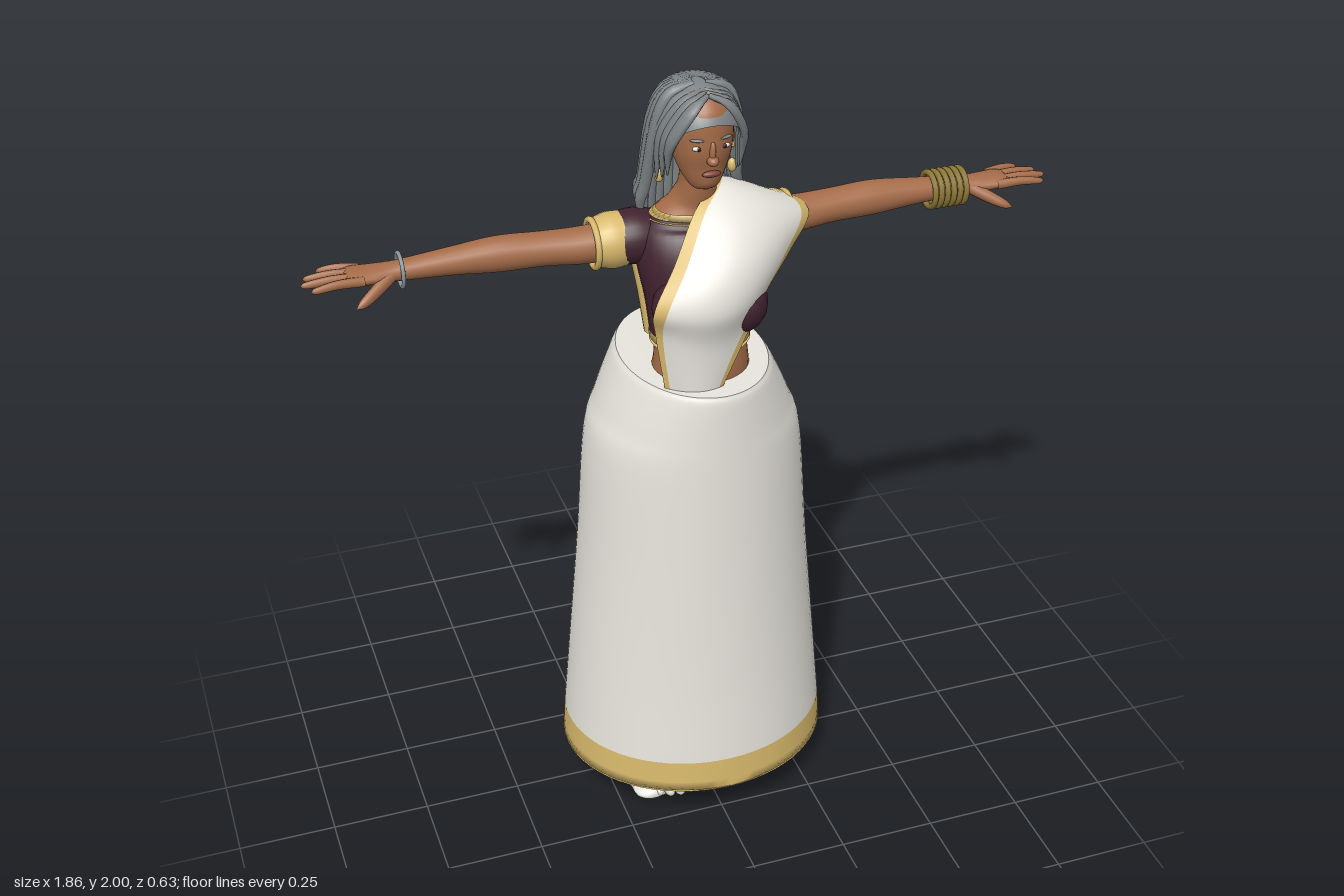
import * as THREE from 'three';

const mat = (name, color, double = false) => {
  const m = new THREE.MeshStandardMaterial({ color });
  m.name = name;
  if (double) m.side = THREE.DoubleSide;
  return m;
};
const V = (x, y, z) => new THREE.Vector3(x, y, z);
const Z = V(0, 0, 1), Y = V(0, 1, 0);

// Grid of points -> smooth surface; closed grids wrap around.
function gridGeometry(rows, closed) {
  const n = rows[0].length, idx = [];
  for (let i = 0; i < rows.length - 1; i++)
    for (let j = 0; j < (closed ? n : n - 1); j++) {
      const k = (j + 1) % n, a = i * n, b = a + n;
      idx.push(a + j, b + j, a + k, a + k, b + j, b + k);
    }
  const g = new THREE.BufferGeometry().setFromPoints(rows.flat());
  g.setIndex(idx);
  g.computeVertexNormals();
  return g;
}

// Tapered elliptical tube through [x, y, z, radiusA, radiusB]; radiusB lies along ref.
function limb(points, ref = Z, steps = 24, sides = 20) {
  const path = new THREE.CatmullRomCurve3(points.map(p => V(p[0], p[1], p[2])), false, 'catmullrom');
  const radii = new THREE.CatmullRomCurve3(points.map(p => V(p[3], p[4], 0)), false, 'catmullrom');
  const rows = [];
  for (let i = 0; i <= steps; i++) {
    const c = path.getPoint(i / steps), r = radii.getPoint(i / steps), t = path.getTangent(i / steps);
    const side = t.clone().cross(ref).normalize(), up = side.clone().cross(t);
    const ring = [];
    for (let j = 0; j < sides; j++) {
      const a = j / sides * Math.PI * 2;
      ring.push(c.clone()
        .addScaledVector(side, Math.max(r.x, 0.0005) * Math.cos(a))
        .addScaledVector(up, Math.max(r.y, 0.0005) * Math.sin(a)));
    }
    rows.push(ring);
  }
  return gridGeometry(rows, true);
}

export function createModel() {
  const root = new THREE.Group();
  root.name = 'drapedFigure';
  const skin = mat('skin', 0xa56c49), cloth = mat('whiteCloth', 0xeeebe3, true);
  const gold = mat('goldTrim', 0xd8b96c, true), maroon = mat('maroonBlouse', 0x42232f, true);
  const hair = mat('greyHair', 0x7f8486), brass = mat('brassBangles', 0x8d7838);
  const silver = mat('silver', 0x8c949c), lip = mat('lips', 0x7d4236);
  const dark = mat('darkEyes', 0x2a1c18), sandal = mat('whiteSandals', 0xe6e4e0);

  const add = (name, geo, m) => {
    const mesh = new THREE.Mesh(geo, m);
    mesh.name = name;
    root.add(mesh);
    return mesh;
  };
  const ball = (name, m, x, y, z, rx, ry, rz) => {
    const b = add(name, new THREE.SphereGeometry(1, 20, 14), m);
    b.position.set(x, y, z);
    b.scale.set(rx, ry, rz);
    return b;
  };

  // Skirt with gold hem
  add('skirt', limb([
    [0, 0.21, 0, 0.348, 0.31], [0, 0.45, 0, 0.326, 0.292], [0, 0.75, 0, 0.298, 0.277], [0, 1.05, 0, 0.274, 0.265],
    [0, 1.15, 0, 0.242, 0.261], [0, 1.25, 0, 0.197, 0.257], [0, 1.276, 0, 0.18, 0.25], [0, 1.265, 0, 0.168, 0.24],
  ].slice(0, 7), Z, 42, 64), cloth);
  add('skirtRim', limb([[0, 1.276, 0, 0.18, 0.25], [0, 1.268, 0, 0.17, 0.238]], Z, 3, 64), cloth);
  add('skirtHem', limb([[0, 0.12, 0, 0.354, 0.316], [0, 0.21, 0, 0.348, 0.31]], Z, 4, 64), gold);

  // Torso and neck, with blouse as a slightly larger shell
  add('torso', limb([
    [0, 0.8, 0, 0.1, 0.06], [0, 0.95, 0, 0.155, 0.11], [0, 1.12, 0.03, 0.15, 0.115], [0, 1.27, 0.068, 0.12, 0.112],
    [0, 1.36, 0.06, 0.113, 0.108], [0, 1.46, 0.055, 0.125, 0.11], [0, 1.56, 0.04, 0.14, 0.105],
    [0, 1.64, 0.02, 0.125, 0.08], [0, 1.69, 0.025, 0.07, 0.055], [0, 1.74, 0.04, 0.045, 0.046], [0, 1.82, 0.05, 0.043, 0.046],
  ], Z, 50, 36), skin);
  add('blouse', limb([
    [0, 1.355, 0.06, 0.12, 0.114], [0, 1.46, 0.055, 0.132, 0.117], [0, 1.56, 0.04, 0.148, 0.113],
    [0, 1.63, 0.022, 0.138, 0.092], [0, 1.672, 0.022, 0.098, 0.07],
  ], Z, 24, 36), maroon);
  add('blouseHem', limb([[0, 1.345, 0.06, 0.123, 0.118], [0, 1.375, 0.06, 0.124, 0.119]], Z, 2, 36), gold);
  add('necklineTrim', limb([[0, 1.658, 0.022, 0.116, 0.081], [0, 1.678, 0.022, 0.094, 0.068]], Z, 2, 36), gold);

  // Sash: crosses the chest, passes over the left shoulder and hangs down the back
  const edgeA = [[-.12, 1.25, .165], [-.145, 1.42, .165], [-.155, 1.5, .19], [-.095, 1.59, .155], [-.025, 1.69, .095],
    [.05, 1.735, .03], [.035, 1.69, -.06], [0, 1.55, -.092], [-.025, 1.25, -.08]];
  const middle = [[-.06, 1.25, .205], [-.05, 1.39, .215], [0, 1.49, .243], [.06, 1.59, .21], [.12, 1.675, .125],
    [.14, 1.705, .03], [.11, 1.67, -.075], [.07, 1.53, -.1], [.055, 1.25, -.11]];
  const edgeB = [[0, 1.25, .2], [.06, 1.375, .195], [.13, 1.49, .165], [.21, 1.56, .11], [.282, 1.62, .045],
    [.25, 1.645, -.02], [.18, 1.61, -.075], [.145, 1.5, -.085], [.14, 1.25, -.09]];
  const rails = [edgeA, middle, edgeB].map(e =>
    new THREE.CatmullRomCurve3(e.map(p => V(...p)), false, 'catmullrom'));
  const sash = (name, u0, u1, n, m) => {
    const rows = [];
    for (let i = 0; i <= 64; i++) {
      const [a, b, c] = rails.map(r => r.getPoint(i / 64)), row = [];
      for (let j = n; j >= 0; j--) {
        const u = u0 + (u1 - u0) * j / n;
        row.push(V(0, 0, 0).addScaledVector(a, (1 - u) * (1 - 2 * u))
          .addScaledVector(b, 4 * u * (1 - u)).addScaledVector(c, u * (2 * u - 1)));
      }
      rows.push(row);
    }
    add(name, gridGeometry(rows, false), m);
  };
  sash('sashInnerBorder', 0, 0.08, 2, gold);
  sash('sash', 0.08, 0.92, 14, cloth);
  sash('sashOuterBorder', 0.92, 1, 2, gold);

  // Head and face
  add('head', limb([
    [0, 1.748, .105, .002, .002], [0, 1.76, .1, .032, .036], [0, 1.81, .078, .06, .07], [0, 1.87, .065, .074, .087],
    [0, 1.93, .055, .074, .09], [0, 1.975, .05, .045, .06], [0, 1.99, .05, .002, .002],
  ], Z, 30, 32), skin);
  ball('nose', skin, 0, 1.838, 0.15, 0.014, 0.012, 0.017);
  ball('noseBridge', skin, 0, 1.86, 0.147, 0.008, 0.026, 0.011);
  ball('lips', lip, 0, 1.803, 0.142, 0.023, 0.008, 0.009);

  // Hair cap, open toward the face
  const cap = add('hairCap', new THREE.SphereGeometry(1, 40, 24, 0, Math.PI * 2, 0, 1.95).rotateX(-0.75), hair);
  cap.position.set(0, 1.885, 0.035);
  cap.scale.set(0.098, 0.108, 0.128);

  // Long locks fanning round the back of the head
  for (let i = 0; i < 17; i++) {
    const a = (i / 16 - 0.5) * 3.3, s = Math.sin(a), c = Math.cos(a), lift = (i * 7 % 5) * 0.014;
    const end = 1.52 + 0.11 * s * s + lift;
    add('backLock', limb([
      [s * .012, 1.988, .05 - c * .02, .008, .008], [s * .07, 1.968, .04 - c * .085, .017, .012],
      [s * .1, 1.89, .025 - c * .125, .022, .013], [s * .112, 1.74, -.012 - c * .1, .021, .014],
      [s * .122, (1.74 + end) / 2, -.026 - c * .086, .018, .012], [s * .115, end, -.03 - c * .078, .002, .002],
    ], V(s, 0.6, -c).normalize(), 20, 8), hair);
  }

  for (const s of [-1, 1]) {
    const side = s > 0 ? 'left' : 'right';

    // Locks framing the face
    for (let k = 0; k < 5; k++)
      add(side + 'FrontLock', limb([
        [s * .002, 1.982, .115 - k * .018, .006, .006], [s * (.045 + k * .004), 1.962, .14 - k * .022, .018, .01],
        [s * (.083 + k * .004), 1.895, .122 - k * .024, .019, .01], [s * (.09 + k * .004), 1.845 - k * .008, .1 - k * .024, .013, .009],
        [s * (.088 + k * .005), 1.79 - k * .015, .088 - k * .026, .002, .002],
      ], V(s, 0.5, 0.4).normalize(), 16, 8), hair);

    // Eyes, brows, ears and earrings
    ball(side + 'Eye', sandal, s * .031, 1.868, .1375, .014, .0065, .008);
    ball(side + 'Pupil', dark, s * .031, 1.868, .1425, .0055, .0055, .004);
    ball(side + 'Brow', hair, s * .032, 1.888, .139, .019, .004, .007).rotation.y = s * .3;
    ball(side + 'Ear', skin, s * .092, 1.85, .022, .012, .028, .018);
    ball(side + 'EarringStud', gold, s * .096, 1.815, .025, .008, .008, .008);
    ball(side + 'EarringDrop', gold, s * .09, 1.765, .03, .011, .017, .011);

    // Bust and the gold seam down the flank
    ball(side + 'Bust', maroon, s * .068, 1.465, .135, .072, .078, .085);
    add(side + 'FlankTrim', limb([
      [s * .119, 1.355, .02, .02, .007], [s * .132, 1.46, .01, .018, .007], [s * .15, 1.57, 0, .018, .007],
    ], V(s, 0, 0), 12, 8), gold);

    // Sleeve and cuff
    add(side + 'Sleeve', limb([
      [s * .08, 1.61, 0, .05, .06], [s * .14, 1.605, -.002, .066, .07], [s * .2, 1.6, -.004, .06, .063],
    ], Z, 12, 24), maroon);
    add(side + 'Cuff', limb([
      [s * .172, 1.602, -.004, .067, .066], [s * .205, 1.6, -.005, .068, .067], [s * .246, 1.597, -.007, .055, .058],
    ], Z, 10, 24), gold);
    add(side + 'CuffEdge', new THREE.TorusGeometry(.057, .008, 8, 28).rotateY(Math.PI / 2), gold)
      .position.set(s * .243, 1.597, -.007);

    // Arm and palm
    add(side + 'Arm', limb([
      [s * .1, 1.61, 0, .05, .05], [s * .25, 1.597, -.008, .045, .05], [s * .36, 1.6, -.014, .041, .045],
      [s * .47, 1.602, -.018, .043, .043], [s * .58, 1.603, -.016, .033, .036], [s * .7, 1.602, -.012, .024, .03],
      [s * .76, 1.602, -.012, .02, .038], [s * .815, 1.605, -.012, .015, .043], [s * .835, 1.605, -.012, .002, .03],
    ], Z, 44, 20), skin);

    // Fingers and thumb
    [[-.048, -.064, .885], [-.025, -.032, .92], [0, 0, .93], [.022, .034, .912]].forEach(([z0, z1, x1]) =>
      add(side + 'Finger', limb([
        [s * .79, 1.604, z0, .012, .012], [s * (.79 + x1) / 2, 1.608, (z0 + z1) / 2, .011, .0105],
        [s * (x1 - .012), 1.604, z1, .008, .008], [s * x1, 1.603, z1, .001, .001],
      ], Z, 12, 10), skin));
    add(side + 'Thumb', limb([
      [s * .725, 1.6, .005, .016, .016], [s * .765, 1.58, .032, .015, .013],
      [s * .8, 1.563, .052, .011, .01], [s * .818, 1.556, .06, .001, .001],
    ], Z, 12, 10), skin);

    // Leg and upper foot
    add(side + 'Leg', limb([
      [s * .085, .98, 0, .08, .09], [s * .1, .75, 0, .08, .085], [s * .12, .5, -.005, .058, .06],
      [s * .13, .33, -.02, .055, .06], [s * .14, .14, -.032, .038, .042], [s * .14, .04, -.035, .036, .046],
    ], Z, 30, 20), skin);
    add(side + 'Instep', limb([
      [s * .14, .05, -.08, .02, .02], [s * .14, .058, -.02, .037, .042], [s * .145, .048, .05, .042, .034],
      [s * .15, .036, .12, .046, .02], [s * .15, .03, .16, .02, .008],
    ], Y, 20, 18), skin);

    // Sandal and toes
    add(side + 'Sandal', limb([
      [s * .138, .024, -.1, .004, .004], [s * .138, .026, -.085, .03, .024], [s * .14, .024, -.03, .04, .024],
      [s * .145, .022, .05, .048, .021], [s * .15, .022, .12, .062, .021], [s * .15, .02, .165, .055, .018],
      [s * .148, .02, .18, .005, .005],
    ], Y, 30, 20), sandal);
    for (let k = 0; k < 5; k++)
      ball(side + 'Toe', sandal, s * (.094 + k * .027), .028 - k * .001, .172 - k * k * .0035, .0165 - k * .001, .022 - k * .0015, .029 - k * .001);
  }

  // Bangle stack on the left wrist, one ring on the right
  const ring = (name, m, x, r, t) =>
    add(name, new THREE.TorusGeometry(r, t, 8, 32).rotateY(Math.PI / 2), m).position.set(x, 1.602, -.012);
  for (let i = 0; i < 6; i++) ring('bangle', brass, 0.622 + i * 0.0165, 0.043, 0.0075);
  ring('wristRing', silver, -0.7, 0.04, 0.005);

  return root;
}
